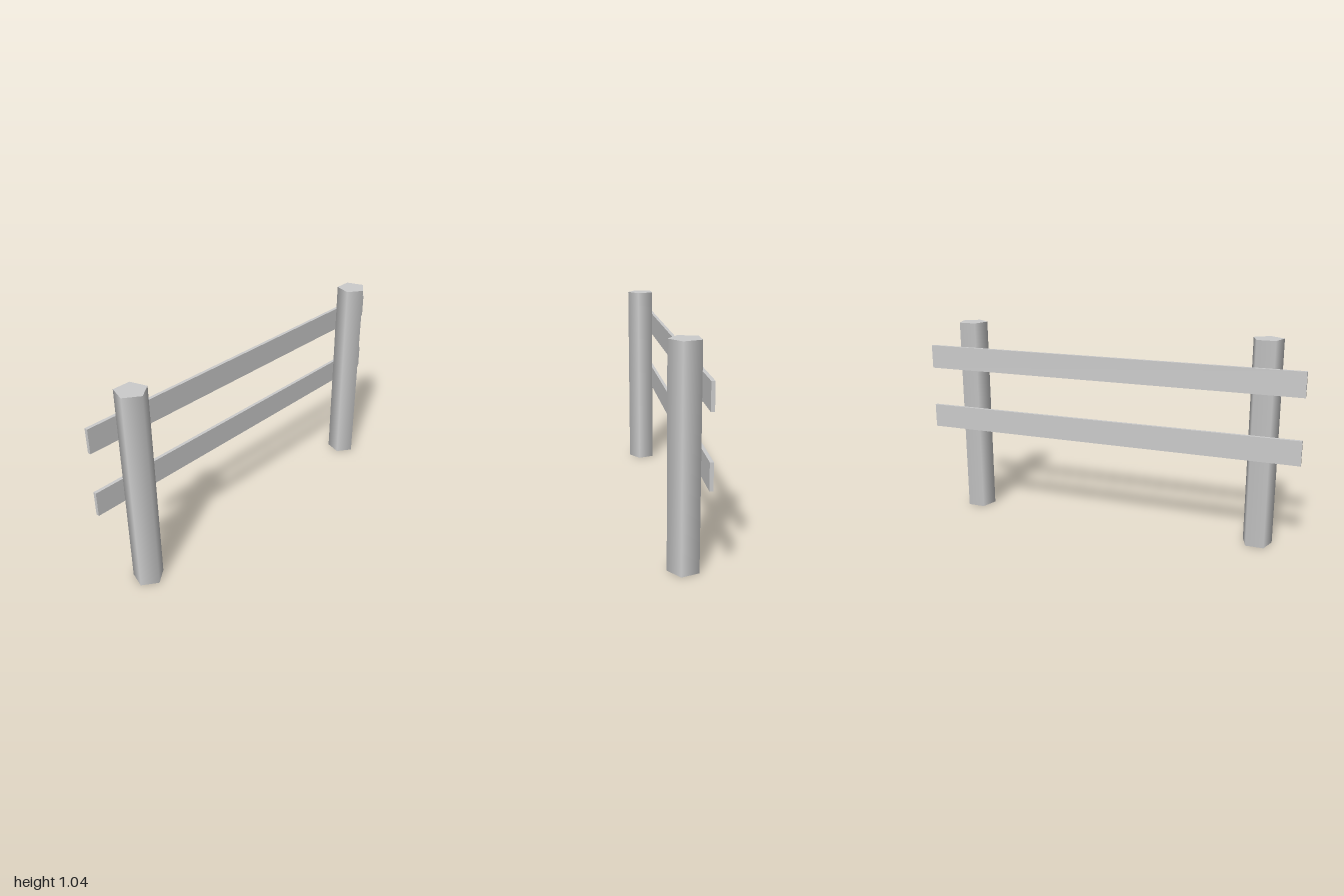
import * as THREE from 'three';

export function createModel() {
  const fence = new THREE.Group();
  fence.name = 'fence';
  const grey = new THREE.MeshStandardMaterial({ color: 0xcccccc });
  grey.name = 'light grey';

  // Five-sided posts with softened sides, one corner facing forward
  const postHeight = 1.04;
  const postGeometry = new THREE.CylinderGeometry(0.077, 0.077, postHeight, 5);
  for (const [name, x] of [['rightPost', -0.802], ['leftPost', 0.781]]) {
    const post = new THREE.Mesh(postGeometry, grey);
    post.name = name;
    post.position.set(x, postHeight / 2, 0.001);
    fence.add(post);
  }

  // Flat boards fixed to the back of the posts
  const railGeometry = new THREE.BoxGeometry(2, 0.124, 0.017);
  for (const [name, y] of [['lowerRail', 0.516], ['upperRail', 0.848]]) {
    const rail = new THREE.Mesh(railGeometry, grey);
    rail.name = name;
    rail.position.set(0, y, -0.0695);
    fence.add(rail);
  }
  return fence;
}
